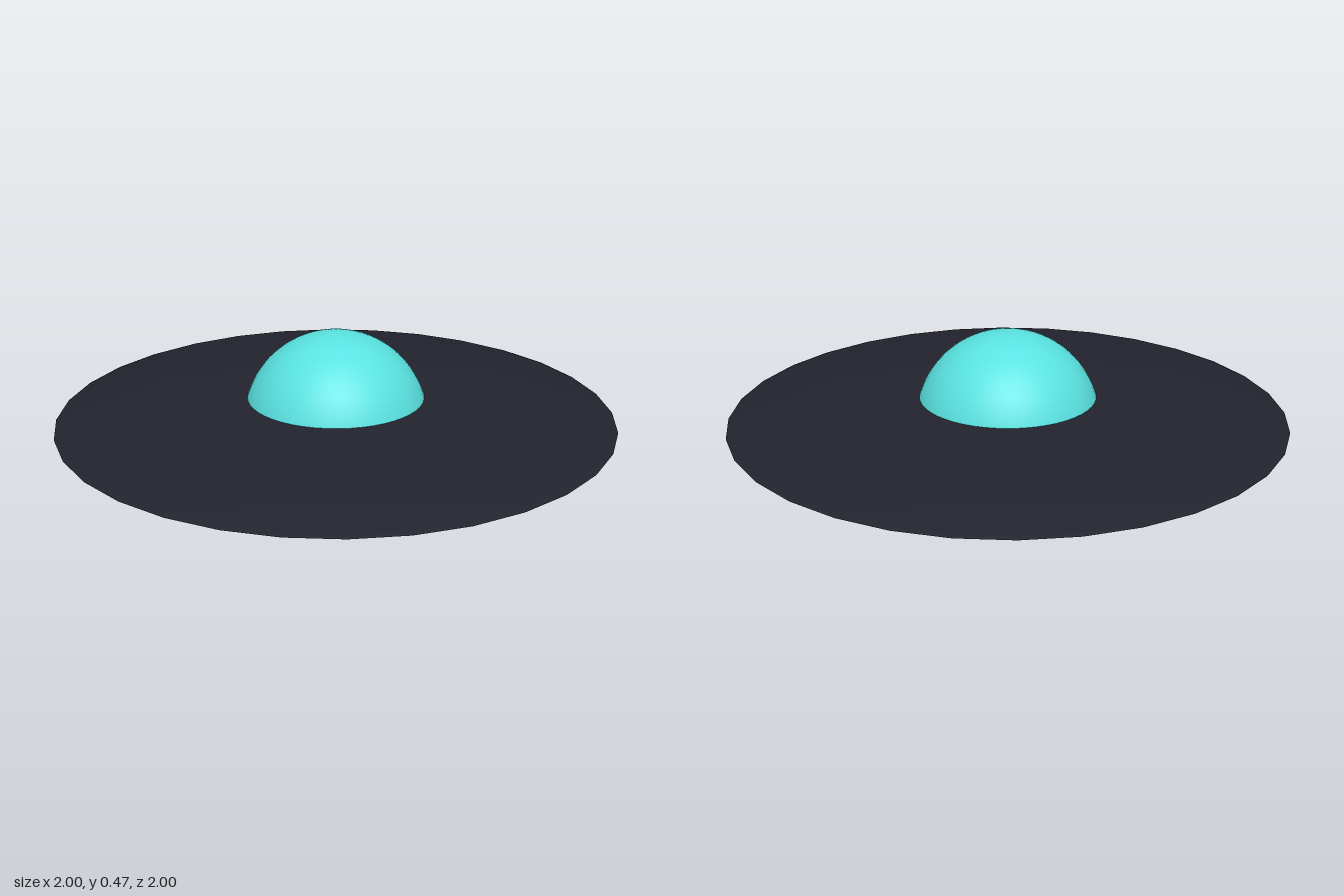
import * as THREE from 'three';
import { toCreasedNormals } from 'three/addons/utils/BufferGeometryUtils.js';

export function createModel() {
  const model = new THREE.Group();
  model.name = 'flyingSaucer';

  const material = (name, color) => {
    const m = new THREE.MeshStandardMaterial({ color });
    m.name = name;
    return m;
  };
  const hullDark = material('hullDark', 0x23232e);
  const domeTurquoise = material('domeTurquoise', 0x59e2e0);
  const glowPurple = material('glowPurple', 0x6628cc);

  const add = (name, geometry, mat, parent = model) => {
    const mesh = new THREE.Mesh(geometry, mat);
    mesh.name = name;
    parent.add(mesh);
    return mesh;
  };

  // Hull: one turned profile, from the underside up over the rim to the top
  const profile = [
    [0, 0.046], [0.205, 0.046], [0.31, 0.1], [0.65, 0.124], [0.98, 0.144], [1, 0.152],
    [0.98, 0.16], [0.7, 0.196], [0.5, 0.218], [0.31, 0.231], [0, 0.231],
  ].map(([r, y]) => new THREE.Vector2(r, y));
  add('hull', toCreasedNormals(new THREE.LatheGeometry(profile, 32), 0.4), hullDark);

  // Cockpit dome: a cap of a sphere resting on the hull
  const domeRadius = 0.33;
  const domeCentre = 0.136;
  const capAngle = Math.acos((0.225 - domeCentre) / domeRadius);
  const dome = add('cockpitDome',
    new THREE.SphereGeometry(domeRadius, 48, 20, 0, Math.PI * 2, 0, capAngle), domeTurquoise);
  dome.position.y = domeCentre;

  // Flattened glowing lens under the hull
  const lens = add('bellyLens',
    new THREE.SphereGeometry(0.147, 32, 10, 0, Math.PI * 2, Math.PI / 2, Math.PI / 2), glowPurple);
  lens.scale.y = 0.046 / 0.147;
  lens.position.y = 0.046;

  // Ring of eight lights, each set in a shallow housing that follows the hull slope
  for (let i = 0; i < 8; i++) {
    const pivot = new THREE.Group();
    pivot.name = `underLight${i + 1}`;
    pivot.rotation.y = i * Math.PI / 4;
    model.add(pivot);

    const light = new THREE.Group();
    light.name = 'lightMount';
    light.position.set(0.73, 0.127, 0);
    light.rotation.z = 0.06;
    pivot.add(light);

    const housing = add('lightHousing', new THREE.CylinderGeometry(0.1, 0.032, 0.013, 20), hullDark, light);
    housing.position.y = -0.005;
    const lamp = add('lamp', new THREE.CylinderGeometry(0.027, 0.025, 0.004, 16), glowPurple, light);
    lamp.position.y = -0.012;
  }

  return model;
}
